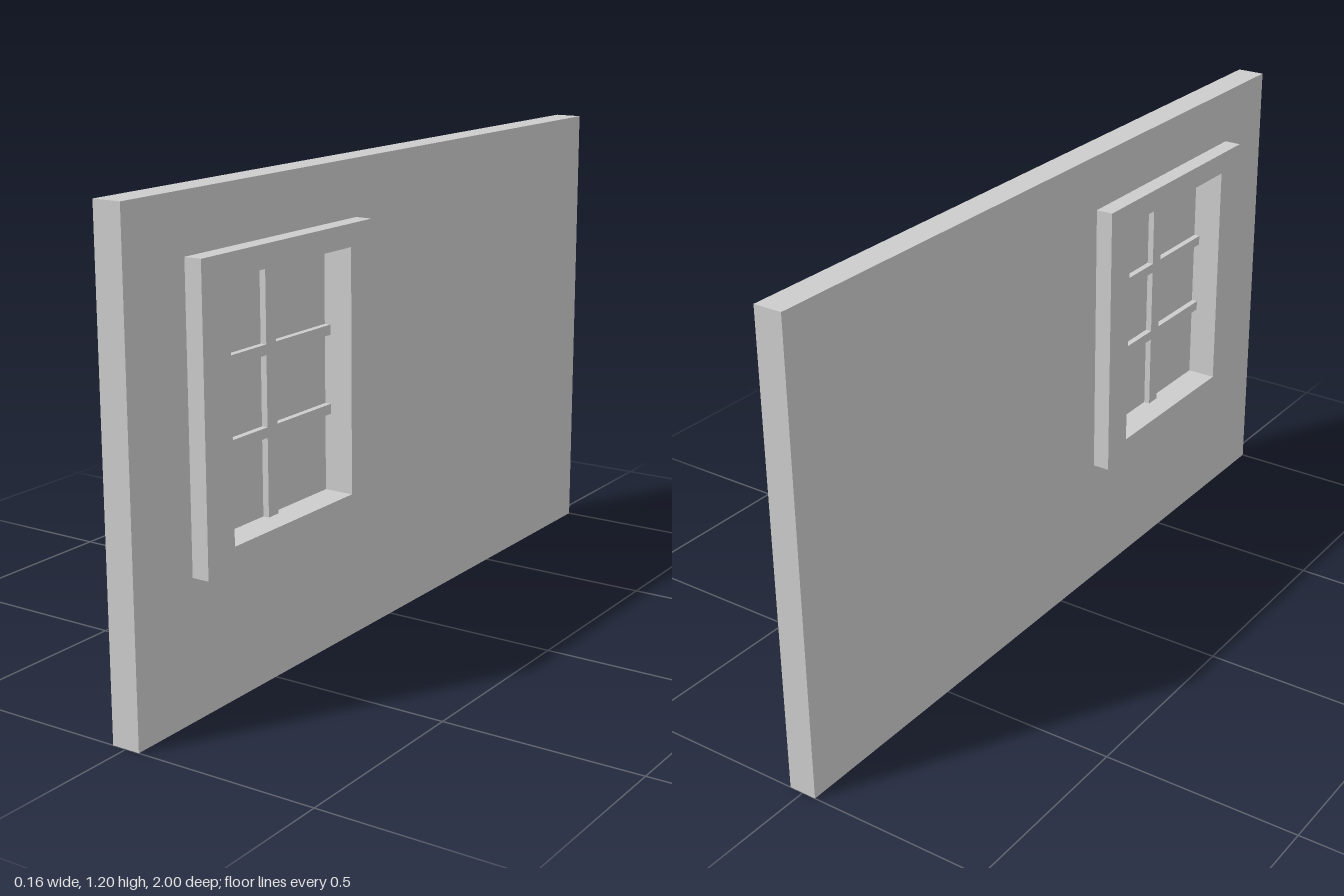
import * as THREE from 'three';

const material = new THREE.MeshStandardMaterial({ color: 0xcccccc });

// Rectangles are given in the wall's plane as [z0, y0, z1, y1]
const WALL = [-1, 0, 1, 1.2];
const FRAME = [0.154, 0.341, 0.802, 1.058];
const OPENING = [0.241, 0.394, 0.706, 1.002];
const ROUGH_HOLE = [0.2, 0.37, 0.75, 1.03]; // hidden behind the frame

function corners([z0, y0, z1, y1]) {
  return [[z0, y0], [z1, y0], [z1, y1], [z0, y1]].map(p => new THREE.Vector2(...p));
}

// Slab with a rectangular hole, its thickness centred on x = 0
function piercedSlab(name, outer, hole, thickness) {
  const shape = new THREE.Shape(corners(outer));
  shape.holes.push(new THREE.Path(corners(hole).reverse()));
  const geometry = new THREE.ExtrudeGeometry(shape, { depth: thickness, bevelEnabled: false });
  geometry.translate(0, 0, -thickness / 2).rotateY(-Math.PI / 2);
  const mesh = new THREE.Mesh(geometry, material);
  mesh.name = name;
  return mesh;
}

// Solid block filling a rectangle of the wall's plane
function block(name, [z0, y0, z1, y1], thickness) {
  const mesh = new THREE.Mesh(new THREE.BoxGeometry(thickness, y1 - y0, z1 - z0), material);
  mesh.position.set(0, (y0 + y1) / 2, (z0 + z1) / 2);
  mesh.name = name;
  return mesh;
}

export function createModel() {
  const model = new THREE.Group();
  model.name = 'wallWithWindow';
  model.add(piercedSlab('wall', WALL, ROUGH_HOLE, 0.073));

  // Window: frame standing proud on both faces, thin pane in the middle
  const window = new THREE.Group();
  window.name = 'window';
  window.add(piercedSlab('windowFrame', FRAME, OPENING, 0.162));
  window.add(block('glassPane', OPENING, 0.008));

  // Glazing bars: one upright, two crossbars in halves on either side of it
  const [z0, y0, z1, y1] = OPENING;
  const barDepth = 0.04, m0 = 0.459, m1 = 0.497;
  window.add(block('uprightBar', [m0, y0, m1, y1], barDepth));
  for (const y of [0.6, 0.796]) {
    for (const [a, b] of [[z0, m0], [m1, z1]]) {
      window.add(block('crossBar', [a, y - 0.0125, b, y + 0.0125], barDepth));
    }
  }
  model.add(window);
  return model;
}
